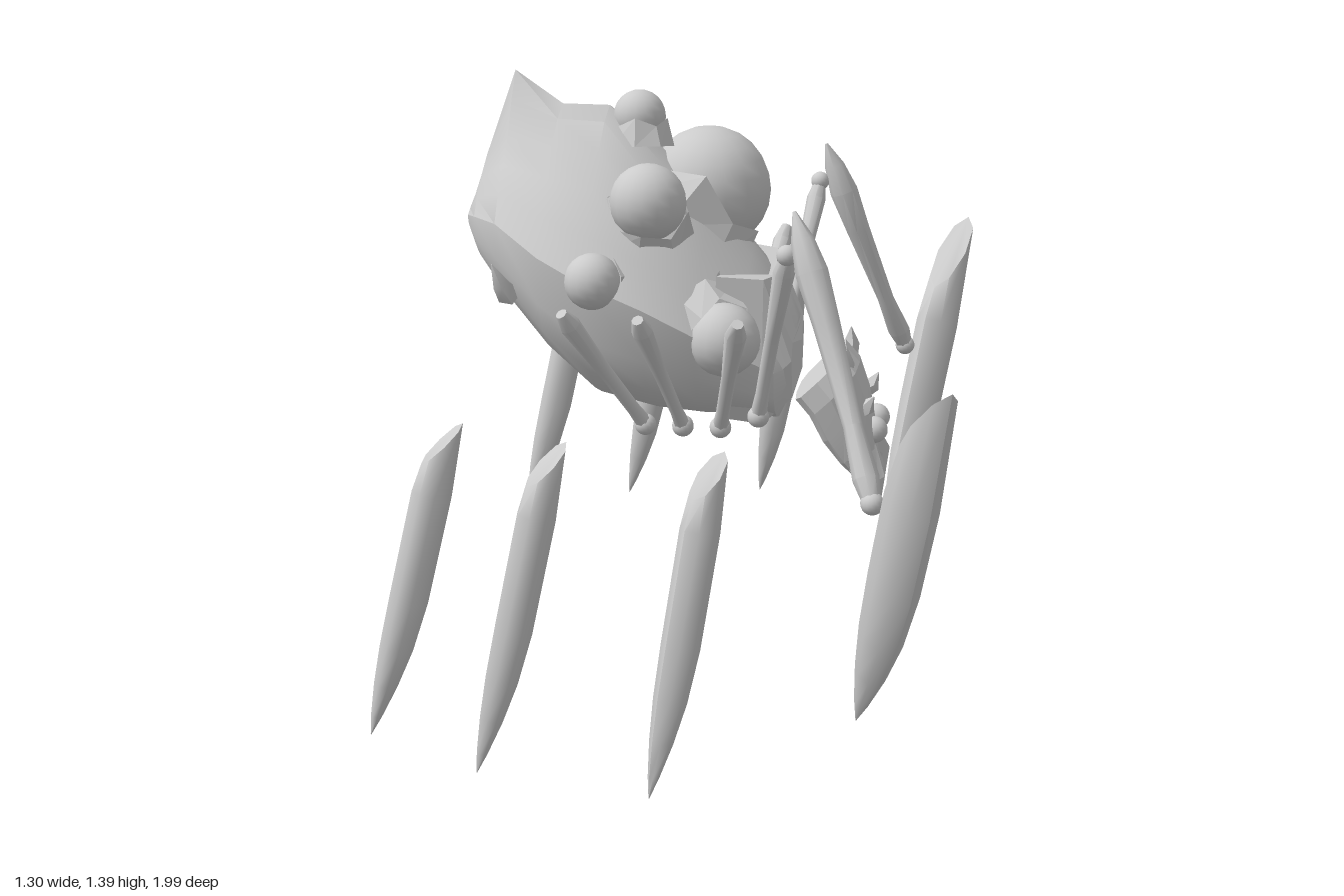
import * as THREE from 'three';
import { toCreasedNormals } from 'three/addons/utils/BufferGeometryUtils.js';

const V = (x, y, z) => new THREE.Vector3(x, y, z);
const material = new THREE.MeshStandardMaterial({ color: 0xcccccc });
const openMaterial = new THREE.MeshStandardMaterial({ color: 0xcccccc, side: THREE.DoubleSide });
const signedPow = (v, k) => Math.sign(v) * Math.abs(v) ** k;

// Skin a list of rings (each an array of points) and close both ends.
function loft(rings, crease = 0.6) {
  const n = rings[0].length, pos = [], idx = [];
  rings.forEach(r => r.forEach(p => pos.push(p.x, p.y, p.z)));
  for (let i = 0; i < rings.length - 1; i++) {
    for (let j = 0; j < n; j++) {
      const a = i * n + j, b = i * n + (j + 1) % n;
      idx.push(a, b, b + n, a, b + n, a + n);
    }
  }
  const last = (rings.length - 1) * n;
  for (let j = 1; j < n - 1; j++) idx.push(0, j + 1, j, last, last + j, last + j + 1);
  const g = new THREE.BufferGeometry();
  g.setAttribute('position', new THREE.Float32BufferAttribute(pos, 3));
  g.setIndex(idx);
  return toCreasedNormals(g, crease);
}

// Ring of n points around an angle.
const ring = (n, fn) => Array.from({ length: n }, (_, j) => fn((j / n) * Math.PI * 2));

// Limb along a curve; profile rows are [t, radius, bevel], where bevel slants the ring
// so that its side facing `hint` lies nearer the start.
function limb(points, profile, sides = 8, hint = V(1, 0, 0), flat = 1) {
  const curve = new THREE.CatmullRomCurve3(points);
  return loft(profile.map(([t, r, bevel = 0]) => {
    const c = curve.getPoint(t), d = curve.getTangent(t);
    const u = hint.clone().addScaledVector(d, -hint.dot(d)).normalize(), v = d.clone().cross(u);
    return ring(sides, a => c.clone().addScaledVector(u, r * Math.cos(a))
      .addScaledVector(v, r * flat * Math.sin(a)).addScaledVector(d, -bevel * Math.cos(a)));
  }), 0.8);
}

export function createModel() {
  const model = new THREE.Group();
  const add = (name, geometry, parent = model, mat = material) => {
    const m = new THREE.Mesh(geometry, mat);
    m.name = name;
    parent.add(m);
    return m;
  };
  const ball = (name, r, p, parent) =>
    add(name, new THREE.SphereGeometry(r, 16, 12), parent).position.copy(p);

  // Abdomen stations: x, bottom, top, half width, middle z, height of the rear peak
  const stations = [
    [-0.588, 1.0, 1.08, 0.05, -0.1, 0], [-0.55, 0.93, 1.18, 0.13, -0.09, 0.02], [-0.48, 0.84, 1.27, 0.205, -0.085, 0.12],
    [-0.36, 0.71, 1.28, 0.285, -0.075, 0.03], [-0.24, 0.61, 1.28, 0.325, -0.065, 0.03], [-0.1, 0.58, 1.2, 0.33, -0.06, 0],
    [0.02, 0.57, 1.08, 0.31, -0.06, 0], [0.12, 0.57, 0.97, 0.27, -0.06, 0], [0.2, 0.565, 0.88, 0.22, -0.05, 0],
    [0.235, 0.64, 0.8, 0.15, -0.05, 0],
  ];
  // Narrow on top, full and flat below, with its crest leaning to -z
  add('abdomen', loft(stations.map(([x, lo, hi, w, mid, peak]) => ring(20, a => {
    const c = Math.cos(a), up = Math.max(0, c);
    const y = (lo + hi) / 2 + (hi - lo) / 2 * signedPow(c, c < 0 ? 0.75 : 1);
    return V(x, y + peak * up ** 12, mid - 0.06 * up + w * (1 - 0.26 * up) * Math.sin(a));
  })), 0.6));

  // Faceted shield above the neck
  const shield = [[0.06, 0.6, 0.95, 0.24], [0.17, 0.58, 0.94, 0.21], [0.238, 0.64, 0.78, 0.17]];
  add('thoraxShield', loft(shield.map(([x, lo, hi, w]) => [
    V(x, hi, -0.05 - w * 0.85), V(x + 0.01, hi - 0.03, -0.05), V(x, hi, -0.05 + w * 0.85),
    V(x, lo + 0.1, -0.05 + w), V(x, lo, -0.05 + w * 0.8), V(x, lo, -0.05 - w * 0.8), V(x, lo + 0.1, -0.05 - w),
  ]), 0.2));

  // Swollen bulbs, each in a ragged faceted collar
  const center = V(-0.15, 0.9, -0.06);
  const bulbs = [
    [0, 1.1, -0.175, 0.155], [-0.105, 1.12, 0.13, 0.092], [-0.165, 1.285, -0.12, 0.065],
    [-0.22, 0.95, 0.24, 0.067], [0.085, 0.81, 0.2, 0.087], [0.09, 0.81, -0.31, 0.087], [-0.23, 0.95, -0.41, 0.066],
  ];
  bulbs.forEach(([x, y, z, r]) => {
    const p = V(x, y, z), group = new THREE.Group();
    group.name = 'bulb';
    model.add(group);
    ball('bulbSphere', r, p, group);
    const out = p.clone().sub(center).normalize();
    const g = new THREE.CylinderGeometry(r * 1.06, r * 1.3, r * 1.1, 8, 1, true).toNonIndexed();
    const q = g.attributes.position;
    for (let i = 0; i < q.count; i++) {
      if (q.getY(i) > 0) {
        const k = Math.round(Math.atan2(q.getX(i), q.getZ(i)) * 4 / Math.PI);
        q.setY(i, r * (k % 2 ? 0.2 : 0.5));
      }
    }
    g.computeVertexNormals();
    const collar = add('bulbCollar', g, group, openMaterial);
    collar.position.copy(p).addScaledVector(out, -r * 0.6);
    collar.quaternion.setFromUnitVectors(V(0, 1, 0), out);
  });

  // Head: faceted wedge hanging down and forward from a flat, boxy neck plate
  const head = new THREE.Group();
  head.name = 'head';
  head.position.z = -0.025;
  model.add(head);
  const skull = [
    [0.3, 0.69, 0.085, 0.125], [0.335, 0.65, 0.085, 0.13], [0.365, 0.58, 0.08, 0.118],
    [0.395, 0.51, 0.06, 0.105], [0.42, 0.45, 0.035, 0.085],
  ];
  add('skull', loft(skull.map(([x, y, h, w]) => ring(12, a => {
    const c = h * signedPow(Math.cos(a), 0.6);
    return V(x + c * 0.7, y + c * 0.72, w * signedPow(Math.sin(a), 0.65));
  })), 0.15));

  const horn = (name, pts, r, sides = 5) =>
    add(name, limb(pts, [[0, r], [0.5, r * 0.75], [1, r * 0.04]], sides), head);
  for (const s of [1, -1]) {
    ball('eye', 0.033, V(0.435, 0.55, s * 0.055), head);
    horn('fang', [V(0.4, 0.5, s * 0.08), V(0.435, 0.44, s * 0.12), V(0.453, 0.36, s * 0.1)], 0.045, 6);
    horn('outerFang', [V(0.38, 0.52, s * 0.08), V(0.42, 0.47, s * 0.125), V(0.44, 0.41, s * 0.145)], 0.036);
    horn('innerFang', [V(0.42, 0.47, s * 0.025), V(0.44, 0.43, s * 0.03), V(0.45, 0.385, s * 0.018)], 0.024);
    horn('crownHorn', [V(0.355, 0.69, s * 0.085), V(0.365, 0.73, s * 0.095), V(0.365, 0.77, s * 0.09)], 0.028);
    horn('cheekHorn', [V(0.38, 0.6, s * 0.09), V(0.42, 0.62, s * 0.1), V(0.435, 0.65, s * 0.11)], 0.028);
  }

  // Legs: hip, upper segment and a blade-like lower segment with a slanted top
  const thigh = [[0, 0.02], [0.15, 0.016], [0.5, 0.017], [0.9, 0.025], [1, 0.014]];
  const shin = [[0, 0.004], [0.1, 0.026], [0.22, 0.037], [0.4, 0.031], [0.75, 0.022], [0.92, 0.03], [1, 0.02]];
  const claw = (top, tip, r, flat, cut) => {
    const axis = tip.clone().sub(top), length = axis.length();
    axis.normalize();
    const out = V(-axis.x, 0, -axis.z);
    out.addScaledVector(axis, -out.dot(axis)).normalize();
    const start = top.clone().addScaledVector(out, -r * 0.75);
    const bow = start.clone().lerp(tip, 0.62).addScaledVector(out, r * 0.25);
    const profile = [[cut, r * 0.8, cut * length * 1.15], [cut * 2 + 0.06, r], [0.45, r * 0.98],
      [0.62, r * 0.85], [0.78, r * 0.6], [0.92, r * 0.28], [1, r * 0.02]];
    return limb([start, bow, tip], profile, 8, out, flat);
  };
  // Per side: thigh hip x, thigh end, and the detached blade's top and tip
  const legs = {
    left: [
      [-0.1, V(-0.255, 0.92, 0.435), V(-0.43, 0.73, 0.67), V(-0.64, 0.015, 0.76)],
      [-0.01, V(-0.075, 0.92, 0.47), V(-0.18, 0.73, 0.77), V(-0.36, 0.015, 0.91)],
      [0.08, V(0.15, 0.92, 0.475), V(0.165, 0.74, 0.82), V(0.03, 0.025, 0.995)],
    ],
    right: [
      [-0.1, V(-0.245, 0.92, -0.59), V(-0.42, 0.73, -0.85), V(-0.63, 0, -0.82)],
      [-0.01, V(-0.065, 0.92, -0.61), V(-0.17, 0.73, -0.9), V(-0.345, 0.015, -0.945)],
      [0.08, V(0.155, 0.92, -0.59), V(0.18, 0.74, -0.88), V(0.045, 0.025, -0.99)],
    ],
  };
  const front = {
    left: [V(0.17, 0.63, 0.22), V(0.25, 1.06, 0.39), V(0.265, 1.16, 0.39), V(0.465, 0.58, 0.655),
      V(0.63, 0.9, 0.865), V(0.435, 0.025, 0.56)],
    right: [V(0.17, 0.63, -0.3), V(0.25, 1.06, -0.52), V(0.265, 1.16, -0.515), V(0.48, 0.58, -0.665),
      V(0.64, 0.9, -0.915), V(0.44, 0.025, -0.495)],
  };
  for (const [sideName, s] of [['left', 1], ['right', -1]]) {
    const side = new THREE.Group();
    side.name = sideName + 'Legs';
    model.add(side);
    const hipZ = s > 0 ? 0.22 : -0.29;
    legs[sideName].forEach(([hx, end, top, tip]) => {
      const hip = V(hx, 0.6, hipZ);
      ball('hip', 0.026, hip, side);
      add('thigh', limb([hip, hip.clone().lerp(end, 0.5), end], thigh), side);
      add('lowerLeg', claw(top, tip, 0.045, 0.9, 0.06), side);
    });
    const [hip, knee, peak, ankle, top, tip] = front[sideName];
    const bend = peak.clone().lerp(ankle, 0.5);
    bend.z -= s * 0.035;
    ball('hip', 0.026, hip, side);
    ball('knee', 0.024, knee, side);
    ball('ankle', 0.026, ankle, side);
    add('frontThigh', limb([hip, hip.clone().lerp(knee, 0.5), knee], thigh), side);
    add('frontShin', limb([peak, bend, ankle], shin), side);
    add('frontLowerLeg', claw(top, tip, 0.077, 0.68, 0.1), side);
    // Thorn on the rear flank
    const z = -0.08 + s * 0.18;
    add('flankThorn', limb([V(-0.45, 0.88, z), V(-0.465, 0.91, z + s * 0.03), V(-0.485, 0.96, z + s * 0.04)],
      [[0, 0.035], [0.5, 0.022], [1, 0.002]], 5), side);
  }
  return model;
}
